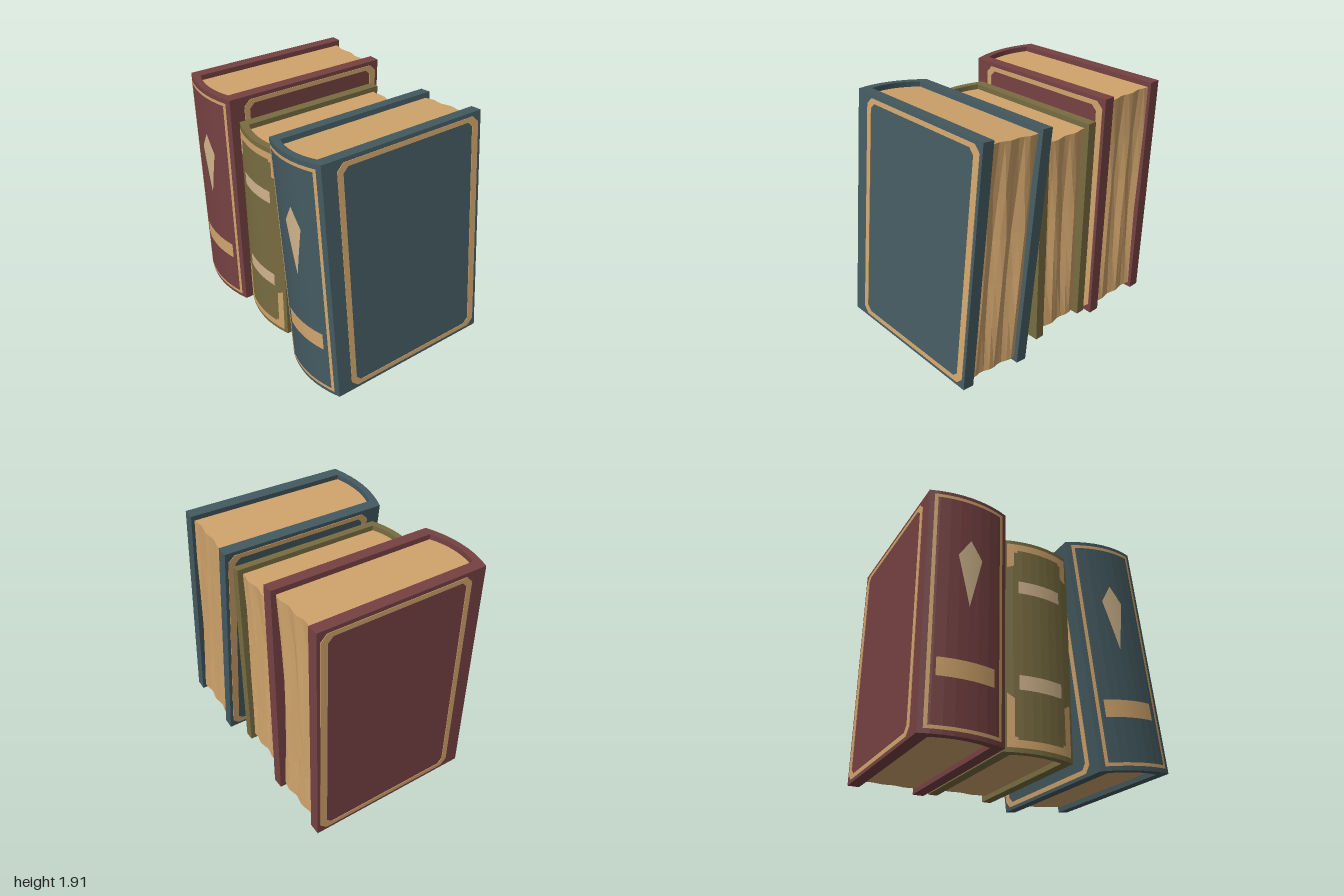
import * as THREE from 'three';

const mat = (name, color) => {
  const m = new THREE.MeshStandardMaterial({ color });
  m.name = name;
  return m;
};
const gold = mat('gold trim', 0xd0a46c);
const cream = mat('cream ornament', 0xd0b48c);
const paper = mat('paper', 0xd0a46c);
const red = mat('red cover', 0x764142);
const green = mat('green cover', 0x786c40);
const blue = mat('blue cover', 0x445a60);

const FACETS = 8;

// points along a bowed curve: z falls from (edge + bow) in the middle to edge at +-half
function arc(half, edge, bow) {
  const pts = [];
  for (let i = 0; i <= FACETS; i++) {
    const u = (i / FACETS) * 2 - 1;
    pts.push([u * half, edge + bow * (1 - u * u)]);
  }
  return pts;
}

// upright prism from an outline given as [x, z] points
function prism(points, y0, y1, steps = 1) {
  const shape = new THREE.Shape(points.map(([x, z]) => new THREE.Vector2(x, -z)));
  const geo = new THREE.ExtrudeGeometry(shape, { depth: y1 - y0, steps, bevelEnabled: false });
  return geo.rotateX(-Math.PI / 2).translate(0, y0, 0);
}

function add(group, name, geo, material) {
  const mesh = new THREE.Mesh(geo, material);
  mesh.name = name;
  group.add(mesh);
}

// rectangle with cut corners
function cutRect(Kind, x0, x1, y0, y1, c) {
  return new Kind([
    [x0 + c, y0], [x1 - c, y0], [x1, y0 + c], [x1, y1 - c],
    [x1 - c, y1], [x0 + c, y1], [x0, y1 - c], [x0, y0 + c],
  ].map(([x, y]) => new THREE.Vector2(x, y)));
}

// paint-thin patch that hugs the spine; low(x) and high(x) give its edges
function spinePatch(b, x0, x1, low, high, extra = []) {
  const n = 12;
  const xs = Array.from({ length: n + 1 }, (_, i) => x0 + ((x1 - x0) * i) / n);
  xs.push(...extra);
  xs.sort((p, q) => p - q);
  const pos = [], index = [];
  xs.forEach((x, i) => {
    const z = b.edge + b.bow * (1 - (x / b.half) ** 2) + 0.005;
    pos.push(x, low(x), z, x, high(x), z);
    const k = i * 2;
    if (i < xs.length - 1) index.push(k, k + 2, k + 3, k, k + 3, k + 1);
  });
  const geo = new THREE.BufferGeometry();
  geo.setAttribute('position', new THREE.Float32BufferAttribute(pos, 3));
  geo.setIndex(index);
  geo.computeVertexNormals();
  return geo;
}
const bar = (b, x0, x1, y0, y1) => spinePatch(b, x0, x1, () => y0, () => y1);

// cover wrap and page block shared by all books
function makeBook(name, b) {
  const g = new THREE.Group();
  g.name = name;
  const inner = arc(b.half - b.board, b.edge - 0.035, b.bow * 0.7);

  const wrap = [
    ...arc(b.half, b.edge, b.bow),
    [b.half, b.back], [b.half - b.board, b.back],
    ...inner.slice().reverse(),
    [b.board - b.half, b.back], [-b.half, b.back],
  ];
  add(g, 'cover', prism(wrap, 0, b.height), b.material);

  // pages, with a rippled fore edge
  const w = b.half - b.board, rear = b.back + 0.025;
  const outline = inner.slice();
  for (let i = 0; i <= 10; i++) outline.push([w - (2 * w * i) / 10, rear]);
  const pages = prism(outline, 0.04, b.height - 0.04, 5);
  const p = pages.attributes.position;
  for (let i = 0; i < p.count; i++) {
    if (p.getZ(i) > rear + 0.01) continue;
    const x = p.getX(i), y = p.getY(i);
    const mid = Math.sin((Math.PI * y) / b.height);
    const ripple = 0.5 + 0.5 * Math.sin(x * 34 + Math.sin(y * 2.3) * 0.8 + b.seed);
    p.setZ(i, rear + (0.015 + 0.035 * mid) * ripple);
  }
  pages.computeVertexNormals();
  add(g, 'pages', pages, paper);
  return g;
}

// tall book: framed boards, framed spine, kite ornament and label
function tallBook(name, material, seed) {
  const b = { half: 0.31, height: 1.85, board: 0.09, edge: 0.64, bow: 0.06, back: -0.705, material, seed };
  const g = makeBook(name, b);

  // border on both boards
  const frame = cutRect(THREE.Shape, -0.525, 0.68, 0.025, 1.82, 0.05);
  frame.holes.push(cutRect(THREE.Path, -0.48, 0.625, 0.06, 1.785, 0.04));
  for (const x of [b.half, -b.half - 0.004]) {
    const geo = new THREE.ExtrudeGeometry(frame, { depth: 0.004, bevelEnabled: false });
    add(g, 'boardBorder', geo.rotateY(Math.PI / 2).translate(x, 0, 0), gold);
  }

  // spine border
  add(g, 'spineBorderBottom', bar(b, -0.275, 0.275, 0.032, 0.057), gold);
  add(g, 'spineBorderTop', bar(b, -0.275, 0.275, 1.793, 1.818), gold);
  for (const s of [-1, 1]) {
    const x = s * 0.2625;
    add(g, 'spineBorderSide', bar(b, x - 0.0125, x + 0.0125, 0.057, 1.793), gold);
  }

  // ornament and label
  const f = (x) => 1 - Math.abs(x) / 0.092;
  add(g, 'kite', spinePatch(b, -0.092, 0.092, (x) => 1.33 - 0.395 * f(x), (x) => 1.33 + 0.14 * f(x)), cream);
  add(g, 'label', bar(b, -0.215, 0.21, 0.392, 0.525), gold);
  return g;
}

// short book: corner bands and two bars on the spine
function shortBook(name, material) {
  const b = { half: 0.278, height: 1.67, board: 0.075, edge: 0.58, bow: 0.055, back: -0.642, material, seed: 2 };
  const g = makeBook(name, b);

  // depth of a corner band: long at the sides, thin across the middle
  const reach = (x) => {
    const d = 0.253 - Math.abs(x);
    return d < 0.052 ? 0.19 + 0.02 * (1 - d / 0.052) : d < 0.075 ? 0.075 : 0.055;
  };
  const steps = [0.2009, 0.2011, 0.1779, 0.1781].flatMap((x) => [x, -x]);
  add(g, 'topBand', spinePatch(b, -0.253, 0.253, (x) => 1.638 - reach(x), () => 1.638, steps), gold);
  add(g, 'bottomBand', spinePatch(b, -0.253, 0.253, () => 0.032,
    (x) => 0.032 + reach(x) * (reach(x) > 0.1 ? 1.85 : 1), steps), gold);

  for (const [y0, y1] of [[0.45, 0.56], [1.215, 1.315]]) {
    add(g, 'spineBar', bar(b, -0.17, 0.175, y0, y1), cream);
  }
  return g;
}

export function createModel() {
  const model = new THREE.Group();
  model.name = 'books';

  const first = tallBook('redBook', red, 0);
  first.position.set(-0.686, 0.042, 0);

  const middle = shortBook('greenBook', green);
  middle.position.set(-0.083, 0.042, 0);

  // leaning book
  const last = tallBook('blueBook', blue, 4);
  last.position.set(0.688, 0.037, 0);
  last.rotation.z = 0.116;

  model.add(first, middle, last);
  return model;
}
